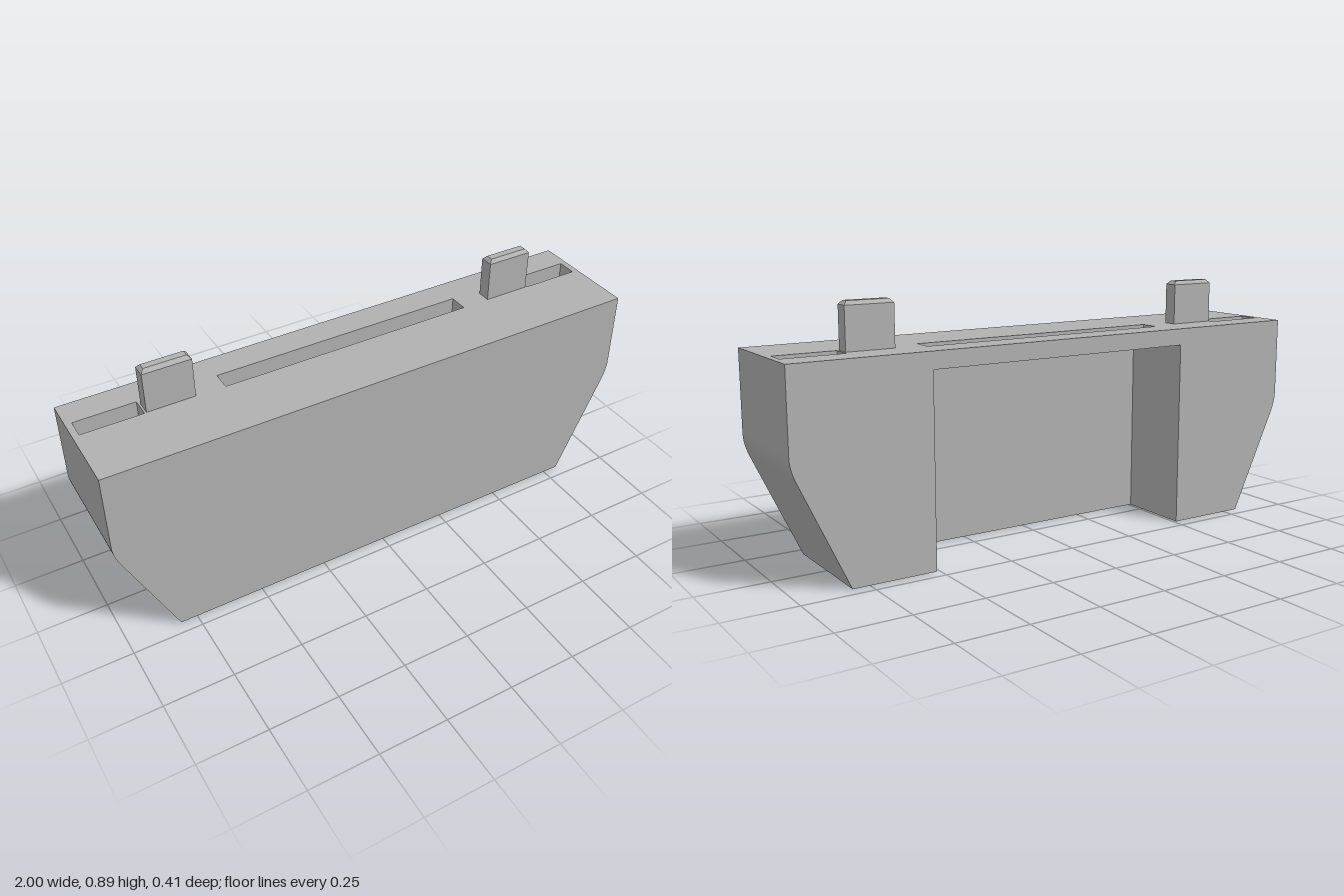
import * as THREE from 'three';
import { toCreasedNormals } from 'three/addons/utils/BufferGeometryUtils.js';

const H = 0.73, D = 0.205;                 // body height, half depth
const CAV = { x: 0.51, y: 0.67, z: 0.072 }; // rear recess

export function createModel() {
  const grey = new THREE.MeshStandardMaterial({ color: 0xb0b0b0 });
  const model = new THREE.Group();
  const body = new THREE.Group();
  body.name = 'body';
  model.add(body);

  const add = (name, geo, parent = body) => {
    const mesh = new THREE.Mesh(geo, grey);
    mesh.name = name;
    parent.add(mesh);
    return mesh;
  };
  const rect = (x0, x1, z0, z1) => [[x0, z0], [x1, z0], [x1, z1], [x0, z1]];
  const vec = (pts, s = 1) => pts.map(([x, y]) => new THREE.Vector2(x, y * s));
  const shape = (pts, holes = [], s = 1) => {
    const result = new THREE.Shape(vec(pts, s));
    result.holes = holes.map((h) => new THREE.Path(vec(h, s)));
    return result;
  };

  // Horizontal face from (x, z) points, facing up or down
  const flat = (name, pts, y, up, holes = []) => {
    const geo = new THREE.ShapeGeometry(shape(pts, holes, up ? -1 : 1));
    geo.rotateX(up ? -Math.PI / 2 : Math.PI / 2);
    add(name, geo.translate(0, y, 0));
  };

  // Wall swept along z over an open run of points, facing right of the run
  const ribbon = (pts, z0, z1) => {
    const pos = [];
    for (let i = 0; i < pts.length - 1; i++) {
      const [a, b] = [pts[i], pts[i + 1]];
      pos.push(...a, z0, ...b, z0, ...b, z1, ...a, z0, ...b, z1, ...a, z1);
    }
    const geo = new THREE.BufferGeometry();
    geo.setAttribute('position', new THREE.Float32BufferAttribute(pos, 3));
    geo.computeVertexNormals();
    return toCreasedNormals(geo, 0.6);
  };

  // Inward-facing vertical walls of an opening given by (x, z) points
  const well = (name, pts, y0, y1) => {
    const run = [...pts, pts[0]].map(([x, z]) => [x, -z]);
    add(name, ribbon(run, y0, y1).rotateX(-Math.PI / 2));
  };

  // Side profile: slanted foot, rounded bend, upright
  const bend = new THREE.QuadraticBezierCurve(
    new THREE.Vector2(0.981, 0.37), new THREE.Vector2(1, 0.412), new THREE.Vector2(1, 0.45));
  const right = [[0.81, 0], ...bend.getPoints(8).map((p) => [p.x, p.y]), [1, H]];
  const left = right.map(([x, y]) => [-x, y]).reverse();

  // Outer faces
  add('frontFace', new THREE.ShapeGeometry(shape([...right, ...left])).translate(0, 0, D));
  const notch = [[-CAV.x, 0], [-CAV.x, CAV.y], [CAV.x, CAV.y], [CAV.x, 0]];
  add('backFace', new THREE.ShapeGeometry(shape([...right, ...left, ...notch]))
    .rotateY(Math.PI).translate(0, 0, -D));
  add('leftSide', ribbon(right, -D, D));
  add('rightSide', ribbon(left, -D, D));

  // Openings: centre slot, end pockets, round holes in the feet
  const slot = rect(-0.475, 0.475, -0.1, -0.03);
  const pockets = [rect(0.76, 0.977, -0.1, -0.03), rect(-0.977, -0.76, -0.1, -0.03)];
  const bores = [0.62, -0.62].map((cx) => Array.from({ length: 24 }, (_, i) => {
    const a = (i / 24) * Math.PI * 2;
    return [cx + 0.033 * Math.cos(a), -0.06 + 0.033 * Math.sin(a)];
  }));

  flat('topFace', rect(-1, 1, -D, D), H, true, [slot, ...pockets]);
  flat('bottomFace', [[-0.81, D], [-0.81, -D], [-CAV.x, -D], [-CAV.x, CAV.z],
    [CAV.x, CAV.z], [CAV.x, -D], [0.81, -D], [0.81, D]], 0, false, bores);
  well('slotWalls', slot, CAV.y, H);
  pockets.forEach((p) => {
    well('pocketWalls', p, H - 0.1, H);
    flat('pocketFloor', p, H - 0.1, true);
  });
  bores.forEach((b) => {
    well('boreWalls', b, 0, 0.3);
    flat('boreEnd', b, 0.3, false);
  });

  // Rear recess
  flat('recessCeiling', rect(-CAV.x, CAV.x, -D, CAV.z), CAV.y, false, [slot]);
  add('recessWall', new THREE.PlaneGeometry(2 * CAV.x, CAV.y)
    .rotateY(Math.PI).translate(0, CAV.y / 2, CAV.z));
  add('recessSide', ribbon([[-CAV.x, 0], [-CAV.x, CAV.y]], -D, CAV.z));
  add('recessSide', ribbon([[CAV.x, CAV.y], [CAV.x, 0]], -D, CAV.z));

  // Upright tabs with chamfered tips
  for (const side of [1, -1]) {
    const tab = new THREE.Group();
    tab.name = side > 0 ? 'leftTab' : 'rightTab';
    tab.position.set(side * 0.667, H, -0.056);
    add('tabPost', new THREE.BoxGeometry(0.172, 0.147, 0.05).translate(0, 0.0735, 0), tab);
    const tip = new THREE.BoxGeometry(0.172, 0.013, 0.05);
    const p = tip.attributes.position;
    for (let i = 0; i < p.count; i++) {
      if (p.getY(i) > 0) {
        p.setX(i, p.getX(i) - Math.sign(p.getX(i)) * 0.012);
        p.setZ(i, p.getZ(i) - Math.sign(p.getZ(i)) * 0.012);
      }
    }
    tip.computeVertexNormals();
    add('tabTip', tip.translate(0, 0.1535, 0), tab);
    model.add(tab);
  }
  return model;
}
